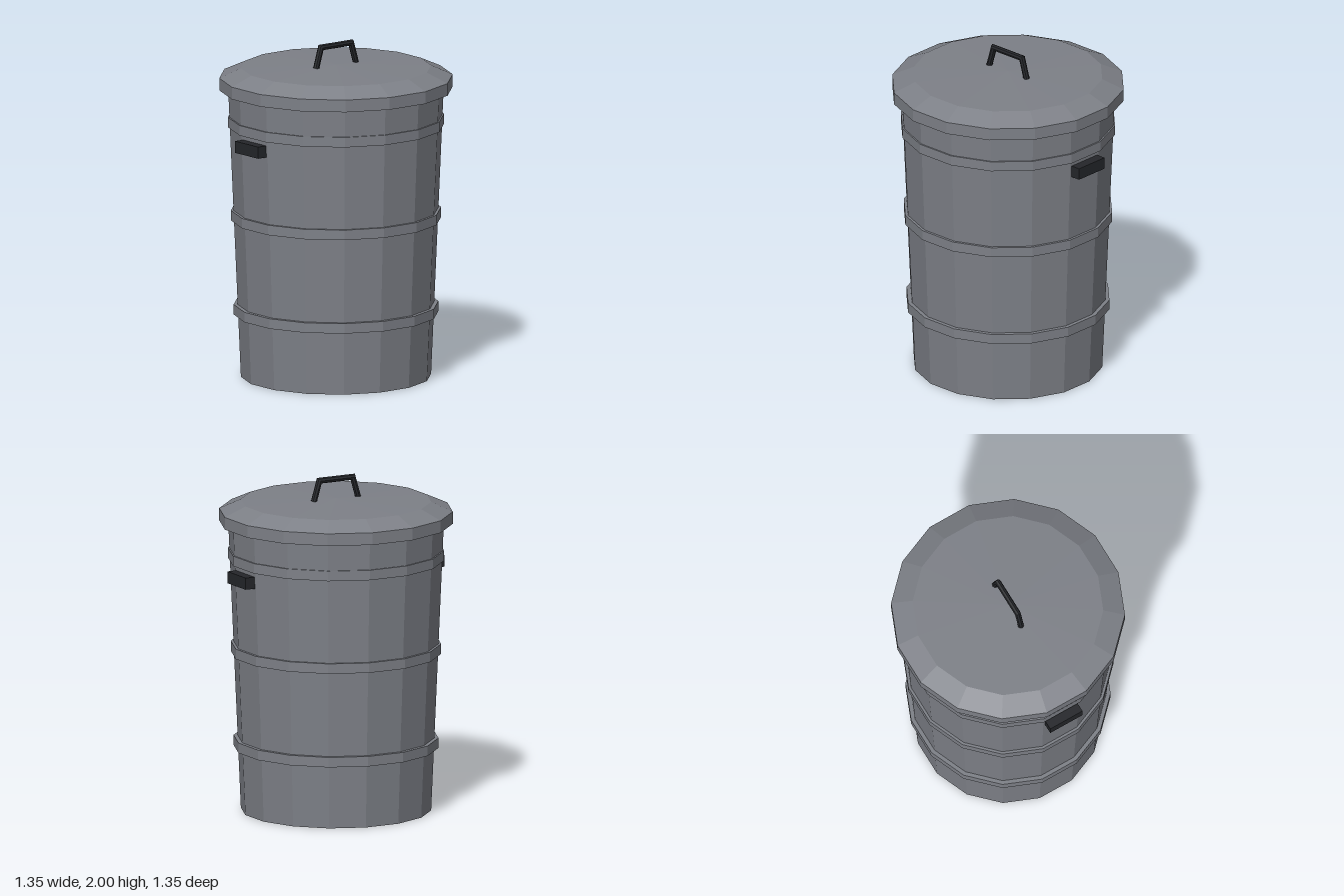
import * as THREE from 'three';

const SIDES = 16;
// Flat-to-flat half widths become corner radii of a 16-sided ring
const corner = (halfWidth) => halfWidth / Math.cos(Math.PI / SIDES);

const metal = new THREE.MeshStandardMaterial({ color: 0x7d8087, flatShading: true });
const dark = new THREE.MeshStandardMaterial({ color: 0x24262a, flatShading: true });

// Faceted solid of revolution; profile runs [halfWidth, y] from bottom to top
function turned(name, profile) {
  const points = profile.map(([w, y]) => new THREE.Vector2(corner(w), y));
  const mesh = new THREE.Mesh(new THREE.LatheGeometry(points, SIDES, Math.PI / SIDES), metal);
  mesh.name = name;
  return mesh;
}

// Octagonal bar bent through a path in the xy plane, with mitred corners
function bentBar(path, radius) {
  const n = path.length - 1;
  const geometry = new THREE.CylinderGeometry(1, 1, n, 8, n);
  const normals = path.slice(1).map((p, i) => {
    const d = p.clone().sub(path[i]).normalize();
    return new THREE.Vector2(-d.y, d.x);
  });
  const mitres = path.map((p, i) => {
    const a = normals[Math.max(i - 1, 0)];
    const b = normals[Math.min(i, n - 1)];
    return a.clone().add(b).divideScalar(1 + a.dot(b));
  });
  const pos = geometry.attributes.position;
  for (let i = 0; i < pos.count; i++) {
    const k = Math.round(pos.getY(i) + n / 2);
    const side = -pos.getX(i) * radius;
    pos.setXYZ(i, path[k].x + mitres[k].x * side, path[k].y + mitres[k].y * side, pos.getZ(i) * radius);
  }
  geometry.computeVertexNormals();
  return geometry;
}

export function createModel() {
  const model = new THREE.Group();
  model.name = 'dustbin';

  // Tapered body
  model.add(turned('body', [[0, 0], [0.55, 0], [0.624, 1.74], [0, 1.74]]));

  // Raised bands around the body
  [[0.375, 0.592], [0.94, 0.608], [1.5, 0.625]].forEach(([y, w], i) => {
    model.add(turned('band' + (i + 1), [[w - 0.04, y], [w, y], [w, y + 0.06], [w - 0.04, y + 0.06]]));
  });

  // Lid with a straight skirt, sloped shoulder and shallow crown
  model.add(turned('lid', [[0, 1.722], [0.675, 1.722], [0.675, 1.795], [0.55, 1.852], [0, 1.866]]));

  // Lid handle
  const path = [[-0.149, 1.86], [-0.113, 1.982], [0.113, 1.982], [0.149, 1.86]]
    .map(([x, y]) => new THREE.Vector2(x, y));
  const lidHandle = new THREE.Mesh(bentBar(path, 0.018), dark);
  lidHandle.name = 'lidHandle';
  model.add(lidHandle);

  // Side grips
  for (const side of [1, -1]) {
    const grip = new THREE.Mesh(new THREE.BoxGeometry(0.08, 0.07, 0.22), dark);
    grip.name = side > 0 ? 'leftGrip' : 'rightGrip';
    grip.position.set(side * 0.632, 1.44, 0);
    model.add(grip);
  }
  return model;
}
